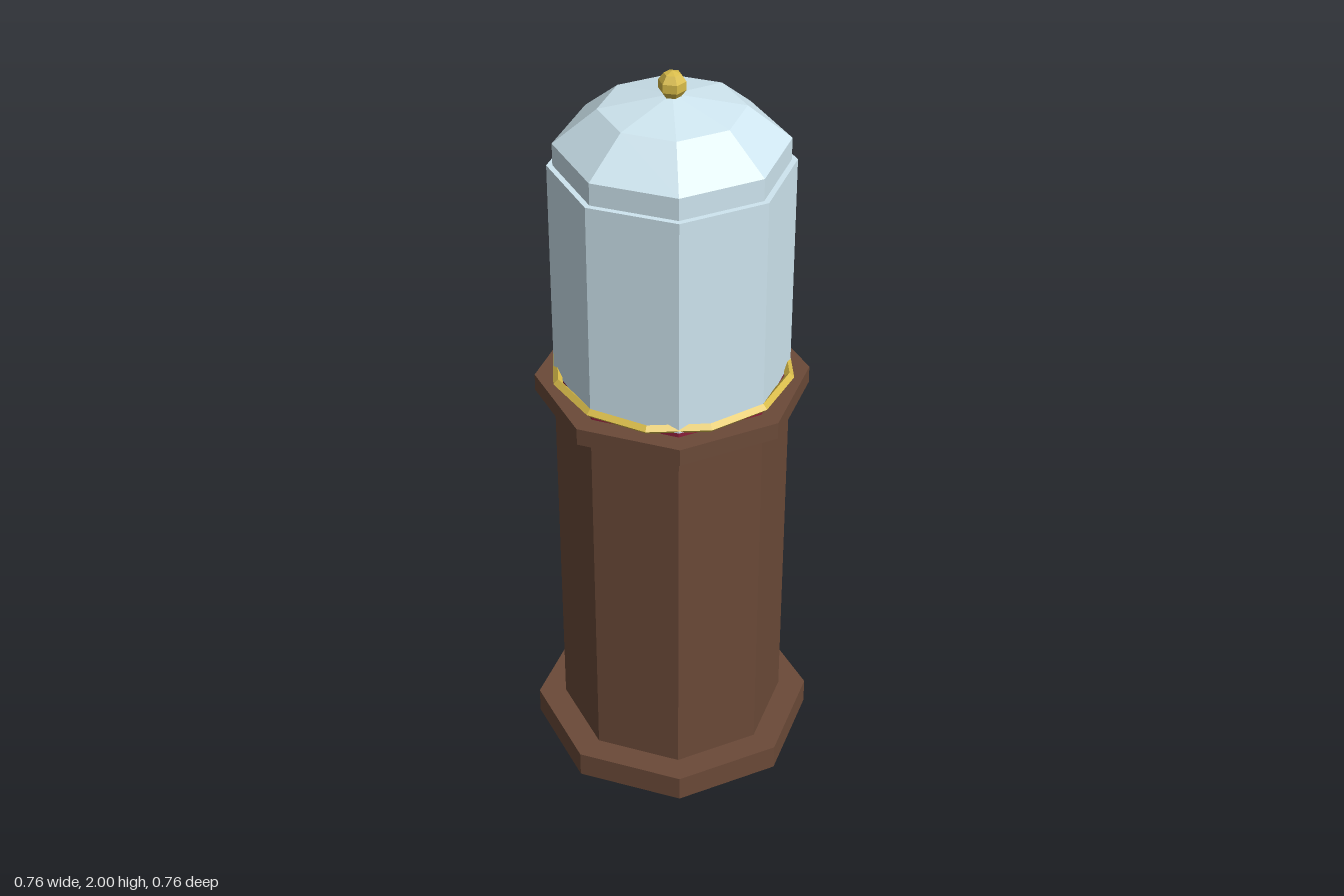
import * as THREE from 'three';

const mat = (color) => new THREE.MeshStandardMaterial({ color, flatShading: true });

export function createModel() {
  const model = new THREE.Group();
  model.name = 'domedDisplayPedestal';
  const wood = mat(0x6b4a38), glass = mat(0xcfe6f0), gold = mat(0xd9bc4a), velvet = mat(0x8b1e3a);

  const add = (name, geometry, material, y = 0) => {
    const mesh = new THREE.Mesh(geometry, material);
    mesh.name = name;
    mesh.position.y = y;
    model.add(mesh);
    return mesh;
  };
  // Octagonal prism between two heights
  const prism = (name, radius, y0, y1, material) =>
    add(name, new THREE.CylinderGeometry(radius, radius, y1 - y0, 8), material, (y0 + y1) / 2);

  // Wooden pedestal
  prism('plinth', 0.38, 0, 0.073, wood);
  prism('column', 0.305, 0.073, 1.108, wood);
  prism('ledge', 0.355, 1.108, 1.155, wood);

  // Velvet pad under the glass
  prism('velvetPad', 0.3, 1.155, 1.17, velvet);

  // Gold trim ring, diamond in section
  const ring = new THREE.TorusGeometry(0.305, 0.0125, 4, 12).rotateX(Math.PI / 2);
  add('trimRing', ring, gold, 1.178);

  // Glass case and its faceted dome
  prism('glassCase', 0.305, 1.17, 1.758, glass);
  const domeProfile = [[0.29, 1.758], [0.29, 1.816], [0.18, 1.905], [0, 1.94]]
    .map(([r, y]) => new THREE.Vector2(r, y));
  add('glassDome', new THREE.LatheGeometry(domeProfile, 8), glass);

  // Finial ball
  const ball = new THREE.SphereGeometry(0.036, 6, 5).rotateY(Math.PI / 6);
  add('finial', ball, gold, 1.964);

  return model;
}
